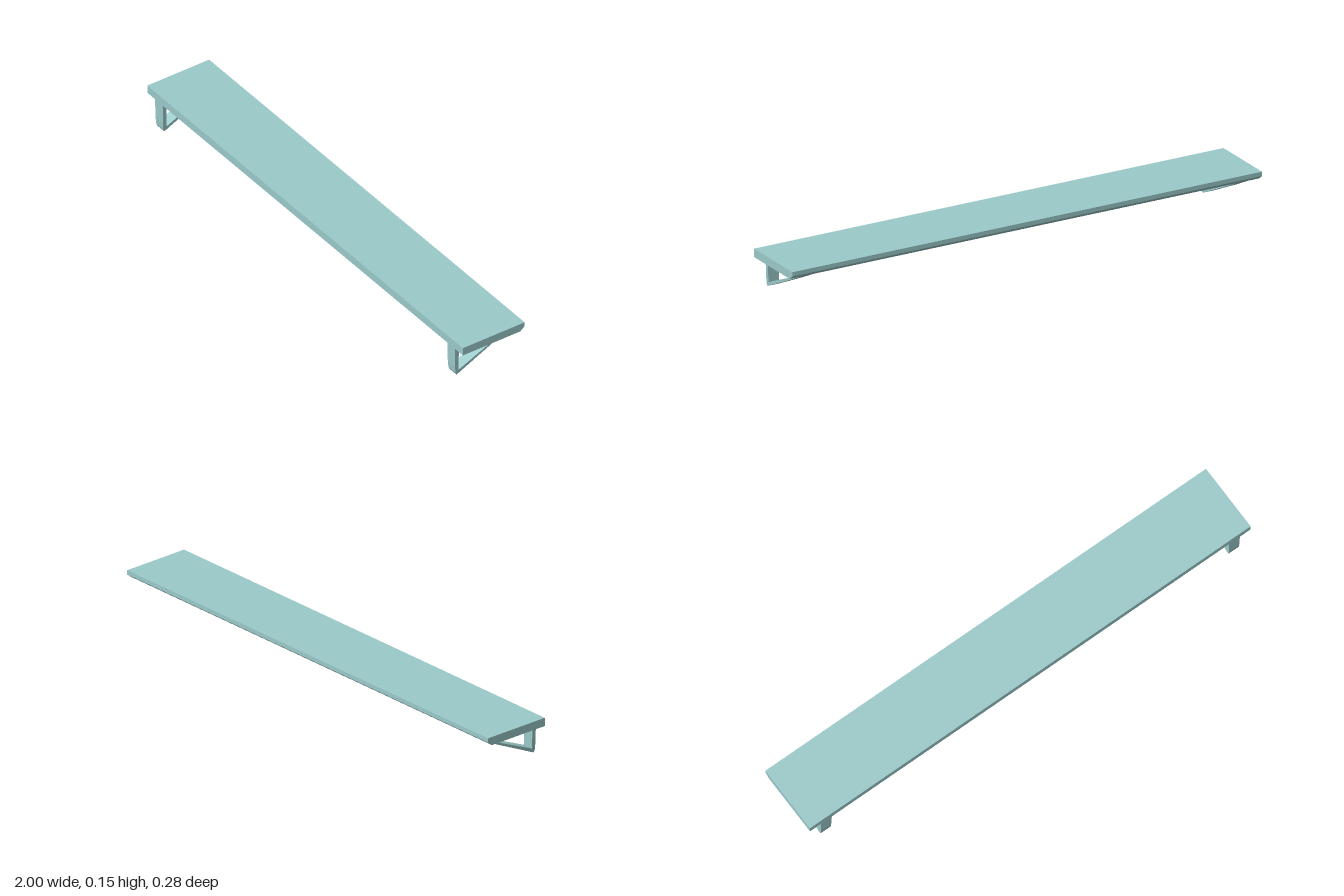
import * as THREE from 'three';

const material = new THREE.MeshStandardMaterial({ color: 0x9ccaca, flatShading: true });

const toPoints = (list) => list.map(([z, y]) => new THREE.Vector2(z, y));

// Extrudes a side profile of [z, y] corners along x, centred on x = 0
function extrudeProfile(outline, width, hole) {
  const shape = new THREE.Shape(toPoints(outline));
  if (hole) shape.holes.push(new THREE.Path(toPoints(hole)));
  const geometry = new THREE.ExtrudeGeometry(shape, { depth: width, bevelEnabled: false });
  geometry.translate(0, 0, -width / 2);
  geometry.rotateY(-Math.PI / 2);
  return geometry;
}

export function createModel() {
  const group = new THREE.Group();
  group.name = 'shelf';

  // Long board with a chamfer under its back edge
  const board = new THREE.Mesh(extrudeProfile([
    [0.139, 0.121], [0.139, 0.154], [-0.139, 0.154], [-0.139, 0.137], [-0.119, 0.121],
  ], 2), material);
  board.name = 'board';
  group.add(board);

  // Triangular bracket: upright at the front, thin diagonal strut to the back
  const bracketGeometry = extrudeProfile([
    [0.139, 0.121], [0.138, 0.04], [0.136, 0.012], [0.132, 0.001], [0.129, 0],
    [-0.044, 0.083], [-0.119, 0.121], [-0.101, 0.121], [-0.033, 0.087],
    [0.122, 0.018], [0.122, 0.121],
  ], 0.05);

  // Narrow the bracket slightly towards its foot
  const position = bracketGeometry.attributes.position;
  for (let i = 0; i < position.count; i++) {
    const taper = 0.88 + 0.12 * Math.min(1, position.getY(i) / 0.121);
    position.setX(i, position.getX(i) * taper);
  }
  bracketGeometry.computeVertexNormals();

  for (const [name, side] of [['leftBracket', 1], ['rightBracket', -1]]) {
    const bracket = new THREE.Mesh(bracketGeometry, material);
    bracket.name = name;
    bracket.position.x = side * 0.926;
    group.add(bracket);
  }

  return group;
}
